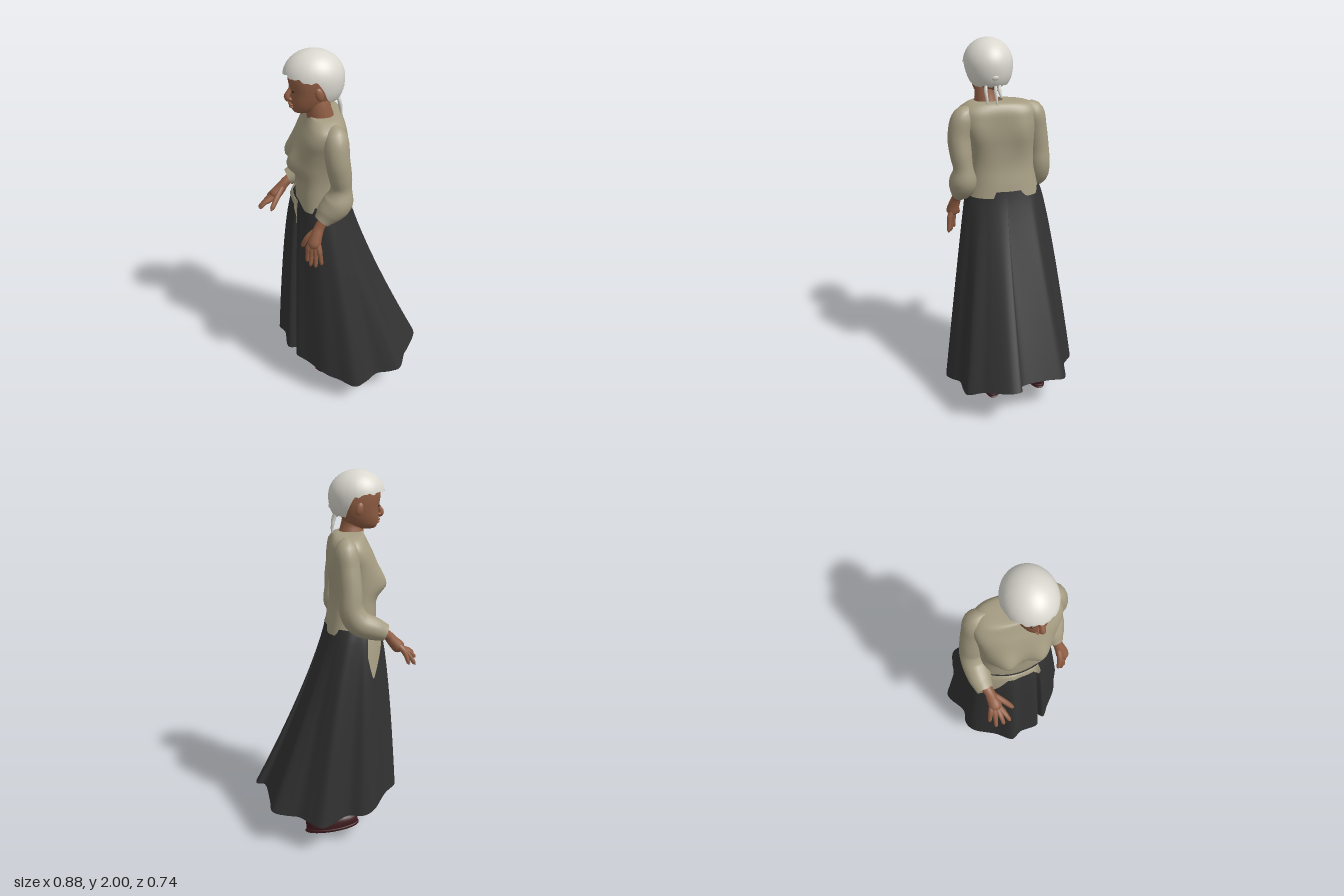
import * as THREE from 'three';
import { mergeVertices } from 'three/addons/utils/BufferGeometryUtils.js';

const V = (x, y, z) => new THREE.Vector3(x, y, z);
const mat = (name, color, side = THREE.FrontSide) => {
  const m = new THREE.MeshStandardMaterial({ color, side });
  m.name = name;
  return m;
};

// Surface from a rule: u runs around (from +x to +z), v runs upwards
function grid(fn, nu, nv, closed = true) {
  const pos = [], idx = [], cols = closed ? nu : nu + 1;
  for (let j = 0; j <= nv; j++)
    for (let i = 0; i < cols; i++) pos.push(...fn(i / nu, j / nv).toArray());
  for (let j = 0; j < nv; j++)
    for (let i = 0; i < nu; i++) {
      const a = j * cols + i, b = j * cols + (i + 1) % cols;
      idx.push(a, a + cols, b, b, a + cols, b + cols);
    }
  const g = new THREE.BufferGeometry();
  g.setAttribute('position', new THREE.Float32BufferAttribute(pos, 3));
  g.setIndex(idx);
  g.computeVertexNormals();
  return g;
}

// Smooth interpolation between the rows of a short table
function sample(rows, t) {
  const n = rows.length - 1, i = Math.min(Math.floor(t * n), n - 1), f = t * n - i;
  const r = k => rows[Math.max(0, Math.min(n, k))];
  return rows[0].map((_, c) => {
    const p1 = r(i)[c], p2 = r(i + 1)[c], m1 = (p2 - r(i - 1)[c]) / 2, m2 = (r(i + 2)[c] - p1) / 2;
    return p1 + f * m1 + f * f * (3 * (p2 - p1) - 2 * m1 - m2) + f ** 3 * (2 * (p1 - p2) + m1 + m2);
  });
}

// Stacked ovals, rows are [y, xFront, xBack, zMin, zMax] from bottom to top
function loft(rows, { nu = 28, nv = rows.length * 3, square = 1, shape = p => p } = {}) {
  const pow = k => Math.sign(k) * Math.pow(Math.abs(k), square);
  return grid((u, v) => {
    const [y, x0, x1, z0, z1] = sample(rows, v), a = u * Math.PI * 2;
    return shape(V((x0 + x1) / 2 + (x1 - x0) / 2 * pow(Math.cos(a)), y, (z0 + z1) / 2 + (z1 - z0) / 2 * pow(Math.sin(a))));
  }, nu, nv);
}

// Tube with changing radius, points are [x, y, z, radius]
function limb(pts, segs = 20, sides = 14) {
  const curve = new THREE.CatmullRomCurve3(pts.map(p => V(p[0], p[1], p[2])));
  const g = new THREE.TubeGeometry(curve, segs, 1, sides);
  const p = g.attributes.position, w = V();
  for (let i = 0; i <= segs; i++) {
    const t = curve.getUtoTmapping(i / segs), c = curve.getPoint(t);
    const r = Math.max(0.0005, sample(pts.map(q => [q[3]]), t)[0]);
    for (let j = 0; j <= sides; j++) {
      const k = i * (sides + 1) + j;
      w.fromBufferAttribute(p, k).sub(c).multiplyScalar(r).add(c);
      p.setXYZ(k, w.x, w.y, w.z);
    }
  }
  g.deleteAttribute('normal');
  g.deleteAttribute('uv');
  const m = mergeVertices(g, 1e-5);
  m.computeVertexNormals();
  return m;
}

// Hem outline seen from above, as x, z pairs, with a lapped fold at the back
const hem = new THREE.CatmullRomCurve3([
  [.06, -.37], [.13, -.33], [.19, -.29], [.25, -.28], [.33, -.25], [.35, -.15], [.39, .01],
  [.43, .017], [.435, .07], [.38, .17], [.35, .21], [.31, .29], [.25, .305], [.17, .31],
  [.1, .35], [.04, .37], [-.05, .33], [-.12, .3], [-.22, .22], [-.28, .17], [-.25, .13],
  [-.32, .12], [-.335, 0], [-.365, -.06], [-.3, -.15], [-.22, -.28], [-.16, -.31], [-.08, -.3],
].map(([x, z]) => V(x, 0, z)), true);

// Skirt surface: waist oval spreading to the hem, fuller early at the front
function skirtPoint(u, v) {
  const h = hem.getPoint(u), a = Math.atan2(h.z, h.x - 0.02), t = 1 - v;
  const f = Math.pow(t, 0.9 + 0.33 * Math.cos(a) + 0.15 * Math.min(0, Math.sin(a)));
  const hemY = 0.235 - (h.z > 0 ? 0.1 : 0.06) * (h.z / 0.37) ** 2 + 0.03 * Math.max(0, -Math.cos(a));
  return V(THREE.MathUtils.lerp(-0.105 + 0.138 * Math.cos(a), h.x, f),
    THREE.MathUtils.lerp(1.225, hemY, t), THREE.MathUtils.lerp(0.2 * Math.sin(a), h.z, f));
}

// Bust at the front and shoulder blades at the back of the blouse
function bodyShape(p) {
  const bell = (d, w) => Math.exp(-((d / w) ** 2));
  const out = p.clone();
  for (const z of [-0.065, 0.105])
    if (p.x < -0.1) out.x -= 0.05 * bell(p.z - z, 0.062) * bell(p.y - 1.435, p.y < 1.435 ? 0.05 : 0.085);
  for (const z of [-0.1, 0.16])
    if (p.x > -0.1) out.x += 0.022 * bell(p.z - z, 0.07) * bell(p.y - 1.53, 0.11);
  return out;
}

export function createModel() {
  const model = new THREE.Group();
  model.name = 'standingWoman';
  const D = THREE.DoubleSide;
  const skin = mat('skin', 0x915e44), cloth = mat('blouseCloth', 0xa59c82, D);
  const dark = mat('skirtCloth', 0x323233, D), white = mat('capCloth', 0xd9d7ce, D);
  const leather = mat('shoeLeather', 0x3e1b1e), eyeDark = mat('eyeDark', 0x2a1a14);
  const add = (name, geo, m, parent = model) => {
    const mesh = new THREE.Mesh(geo, m);
    mesh.name = name;
    parent.add(mesh);
    return mesh;
  };
  const ball = (name, m, c, s, parent = model) => {
    const b = add(name, new THREE.SphereGeometry(1, 20, 14), m, parent);
    b.position.set(...c);
    b.scale.set(...s);
    return b;
  };

  // Skirt and the blouse tail over its front
  add('skirt', grid(skirtPoint, 224, 30), dark);
  const peak = (s, c, w) => Math.max(0, 1 - Math.abs(s - c) / w);
  add('blouseTail', grid((s, v) => {
    const depth = 0.03 + 0.11 * peak(s, 0.1, 0.2) + 0.23 * peak(s, 0.88, 0.22);
    const p = skirtPoint((19 + 6.8 * s) / 28, 1 - depth * (1 - v));
    return V(-0.105 + (p.x + 0.105) * 1.05, p.y, p.z * 1.05);
  }, 40, 8, false), cloth);

  // Blouse
  add('blouse', loft([
    [1.19, -.235, .034, -.195, .2], [1.26, -.237, .024, -.182, .19], [1.35, -.236, .01, -.172, .187],
    [1.44, -.24, .008, -.172, .2], [1.52, -.237, .012, -.178, .222], [1.59, -.218, .012, -.187, .245],
    [1.645, -.19, .008, -.178, .24], [1.682, -.172, -.012, -.125, .19], [1.692, -.165, -.045, 0, .15],
  ], { nu: 72, nv: 40, square: 0.8, shape: bodyShape }), cloth);

  // Sleeves
  add('leftSleeve', limb([
    [-.06, 1.66, .16, .02], [-.05, 1.62, .213, .058], [-.045, 1.52, .24, .061], [-.03, 1.42, .236, .057],
    [-.025, 1.355, .228, .053], [-.04, 1.28, .228, .074], [-.09, 1.22, .23, .064], [-.125, 1.18, .24, .042],
  ], 32, 18), cloth);
  add('rightSleeve', limb([
    [-.07, 1.67, -.1, .02], [-.07, 1.63, -.15, .058], [-.08, 1.53, -.175, .06], [-.09, 1.42, -.192, .06],
    [-.095, 1.33, -.198, .063], [-.135, 1.265, -.198, .066], [-.21, 1.235, -.195, .06], [-.268, 1.212, -.188, .046],
  ], 32, 18), cloth);

  // Hands: forearm, palm, then a finger from each root to its tip
  const hand = (side, arm, palm, tips, thumb) => {
    const g = new THREE.Group();
    g.name = side + 'Hand';
    model.add(g);
    add('wrist', limb(arm), skin, g);
    tips.forEach((tip, i) => {
      const root = palm[0].map((c, k) => c + (palm[1][k] - c) * i / 3);
      const mid = root.map((c, k) => (c + tip[k]) / 2 + (k === 1 ? 0.008 : 0));
      const start = arm[arm.length - 3];
      add('finger', limb([[start[0], start[1], start[2], .014], [...root, .016], [...mid, .012], [...tip, .009],
        [...tip.map((c, k) => c + (c - mid[k]) * 0.1), 0]], 14, 8), skin, g);
    });
    const w = arm[1];
    add('thumb', limb([[w[0], w[1], w[2], .014], [...thumb[0], .015], [...thumb[1], .01],
      [...thumb[1].map((c, k) => c + (c - thumb[0][k]) * 0.1), 0]], 12, 8), skin, g);
  };
  hand('left', [[-.09, 1.22, .24, .03], [-.135, 1.155, .25, .026], [-.155, 1.11, .262, .03], [-.17, 1.06, .272, .032], [-.175, 1.03, .275, 0]],
    [[-.195, 1.045, .262], [-.145, 1.035, .29]],
    [[-.205, .955, .26], [-.19, .94, .28], [-.165, .94, .295], [-.135, .955, .3]],
    [[-.2, 1.09, .245], [-.225, 1.03, .23]]);
  hand('right', [[-.22, 1.23, -.195, .03], [-.285, 1.19, -.17, .026], [-.315, 1.155, -.163, .03], [-.35, 1.12, -.155, .032], [-.375, 1.1, -.15, 0]],
    [[-.365, 1.115, -.185], [-.375, 1.105, -.13]],
    [[-.395, 1.045, -.205], [-.43, 1.035, -.18], [-.435, 1.06, -.14], [-.43, 1.07, -.105]],
    [[-.34, 1.12, -.105], [-.37, 1.075, -.07]]);

  // Neck and upper chest
  add('neck', limb([[-.1, 1.6, .075, .075], [-.108, 1.665, .08, .068], [-.115, 1.72, .085, .06], [-.13, 1.8, .075, .058]]), skin);

  // Head, turned a little to its left
  const head = new THREE.Group();
  head.name = 'head';
  head.position.set(-0.135, 0, 0.068);
  head.rotation.y = 0.15;
  model.add(head);
  add('face', loft([
    [1.702, -.07, -.07, 0, 0], [1.704, -.095, -.01, -.03, .03], [1.722, -.109, .04, -.054, .054],
    [1.76, -.115, .08, -.073, .073], [1.81, -.114, .1, -.086, .086], [1.86, -.122, .11, -.092, .092],
    [1.91, -.115, .1, -.088, .088], [1.96, -.07, .06, -.05, .05], [1.97, 0, 0, 0, 0],
  ], { square: 0.92 }), skin, head);
  add('nose', limb([[-.104, 1.84, 0, .008], [-.117, 1.812, 0, .011], [-.131, 1.783, 0, .015], [-.121, 1.769, 0, .013], [-.104, 1.765, 0, 0]], 14, 10), skin, head);
  ball('upperLip', skin, [-0.112, 1.748, 0], [0.014, 0.007, 0.026], head);
  ball('lowerLip', skin, [-0.11, 1.735, 0], [0.013, 0.008, 0.023], head);
  for (const s of [-1, 1]) {
    ball('eye', eyeDark, [-0.107, 1.818, s * 0.037], [0.006, 0.004, 0.011], head);
    ball('nostril', skin, [-0.117, 1.774, s * 0.012], [0.012, 0.008, 0.01], head);
    ball('ear', skin, [0.005, 1.81, s * 0.089], [0.02, 0.033, 0.012], head).rotation.z = 0.25;
  }

  // Cap: dome with a ragged edge, high at the brow and low at the nape
  add('cap', grid((u, v) => {
    const a = u * Math.PI * 2, c = Math.cos(a);
    const edge = 1.36 + 0.17 * (1 + Math.min(0, c)) + 0.92 * THREE.MathUtils.smoothstep(c, 0.05, 0.6)
      + 0.035 * Math.sin(a * 11) + 0.025 * Math.sin(a * 23);
    const q = edge * (1 - v), s = q > Math.PI / 2 ? Math.sqrt(Math.sin(q)) : Math.sin(q);
    return V(-0.135 + 0.147 * s * c, 1.87 + 0.13 * Math.cos(q), 0.068 + 0.128 * s * Math.sin(a));
  }, 96, 18), white);
  for (const [z, end] of [[0.1, 1.69], [0.05, 1.685], [0.03, 1.72]])
    add('capTie', limb([[-.03, 1.79, z, .007], [-.016, 1.75, z + .004, .009], [-.008, end, z - .002, .005], [-.007, end - .008, z, 0]], 10, 8), white);
  ball('capKnot', white, [-0.002, 1.82, 0.06], [0.012, 0.016, 0.022]);

  // Legs, shoes and the petticoat edge hanging beside the right leg
  for (const [name, x, z, y, turn, top] of [['left', .07, .105, 0, -.12, .22], ['right', .085, -.16, .03, .1, .42]]) {
    add(name + 'Leg', limb([[x, .08 + y, z, .03], [x - .003, .13 + y, z + .006, .028],
      [x - .008, (.13 + y + top) / 2, z + .01, .031], [x - .015, top, z + .012, .034]]), skin);
    const shoe = new THREE.Group();
    shoe.name = name + 'Shoe';
    shoe.position.set(x, y, z);
    shoe.rotation.set(0, turn, -0.1);
    model.add(shoe);
    add('upper', loft([
      [.008, -.085, -.085, 0, 0], [.008, -.22, .05, -.048, .048], [.022, -.236, .056, -.058, .058],
      [.045, -.236, .058, -.06, .06], [.068, -.222, .058, -.056, .056], [.086, -.17, .057, -.049, .049],
      [.102, -.09, .056, -.042, .042], [.124, -.045, .053, -.037, .037], [.128, 0, 0, 0, 0],
    ]), leather, shoe);
    add('sole', loft([
      [.004, -.085, -.085, 0, 0], [.004, -.225, .056, -.052, .052], [.012, -.24, .06, -.062, .062],
      [.022, -.24, .06, -.062, .062], [.025, -.22, .05, -.05, .05],
    ]), leather, shoe);
  }
  add('petticoatEdge', limb([[-.05, .24, -.13, .006], [-.045, .27, -.13, .018], [-.04, .36, -.125, .022], [-.04, .45, -.12, .02]]), cloth);
  return model;
}
